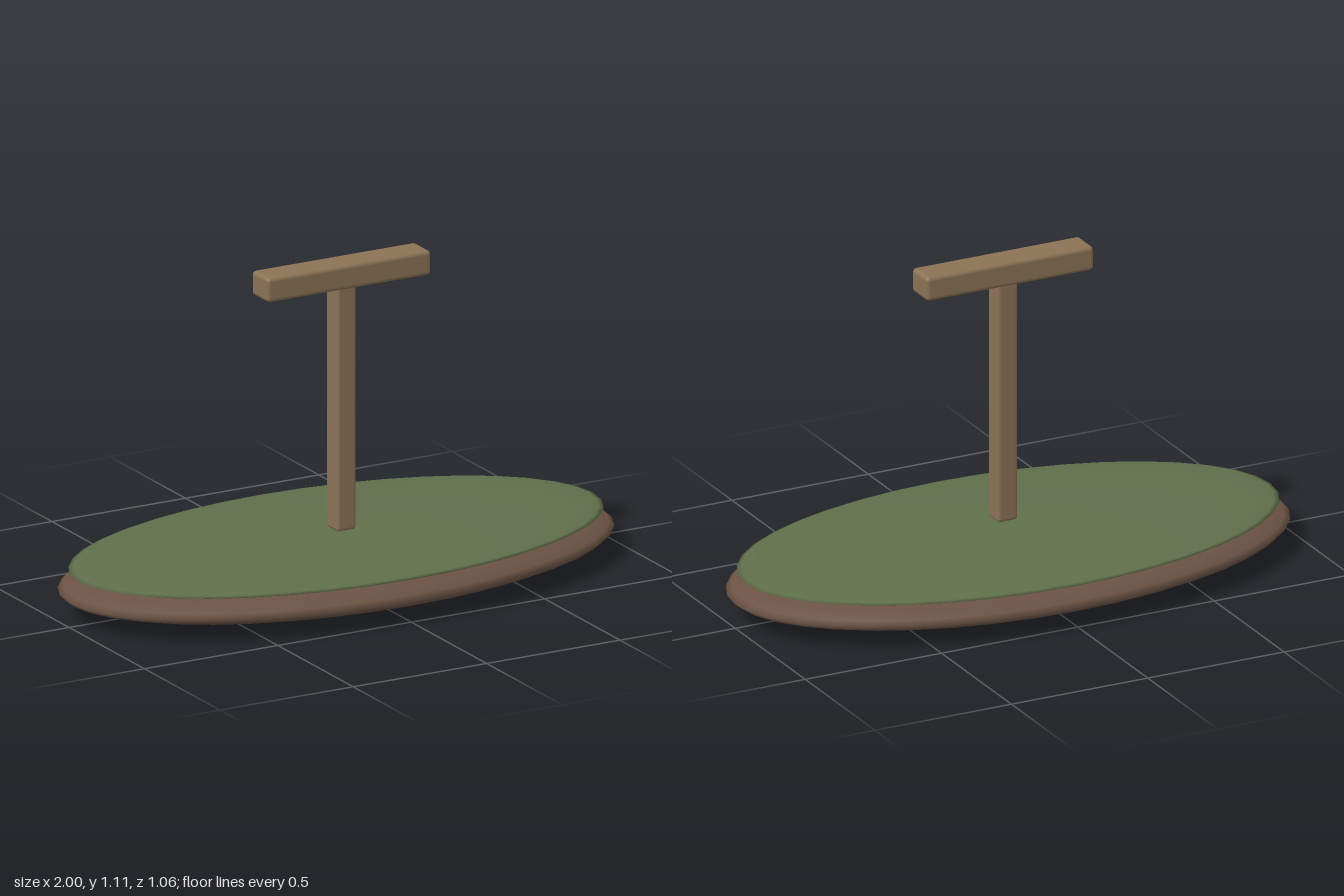
import * as THREE from 'three';
import { RoundedBoxGeometry } from 'three/addons/geometries/RoundedBoxGeometry.js';

const material = (name, color) => {
  const m = new THREE.MeshStandardMaterial({ color });
  m.name = name;
  return m;
};

export function createModel() {
  const group = new THREE.Group();
  const soil = material('dark brown', 0x6b5344);
  const grass = material('moss green', 0x5f6f4a);
  const wood = material('light wood', 0x8b7355);

  const add = (name, geometry, mat, x, y, z) => {
    const mesh = new THREE.Mesh(geometry, mat);
    mesh.name = name;
    mesh.position.set(x, y, z);
    group.add(mesh);
    return mesh;
  };

  // Flattened ellipsoids: broad base with a thinner pad on top
  add('base', new THREE.SphereGeometry(1, 40, 16), soil, 0, 0.087, 0).scale.set(1, 0.084, 0.53);
  add('topPad', new THREE.SphereGeometry(1, 40, 16), grass, 0, 0.153, 0).scale.set(0.962, 0.028, 0.506);

  // Upright post with a crossbar, both softly bevelled
  add('post', new RoundedBoxGeometry(0.074, 0.85, 0.076, 3, 0.012), wood, 0, 0.62, 0.036);
  add('crossbar', new RoundedBoxGeometry(0.614, 0.084, 0.11, 3, 0.014), wood, 0, 1.071, 0.036);

  return group;
}
